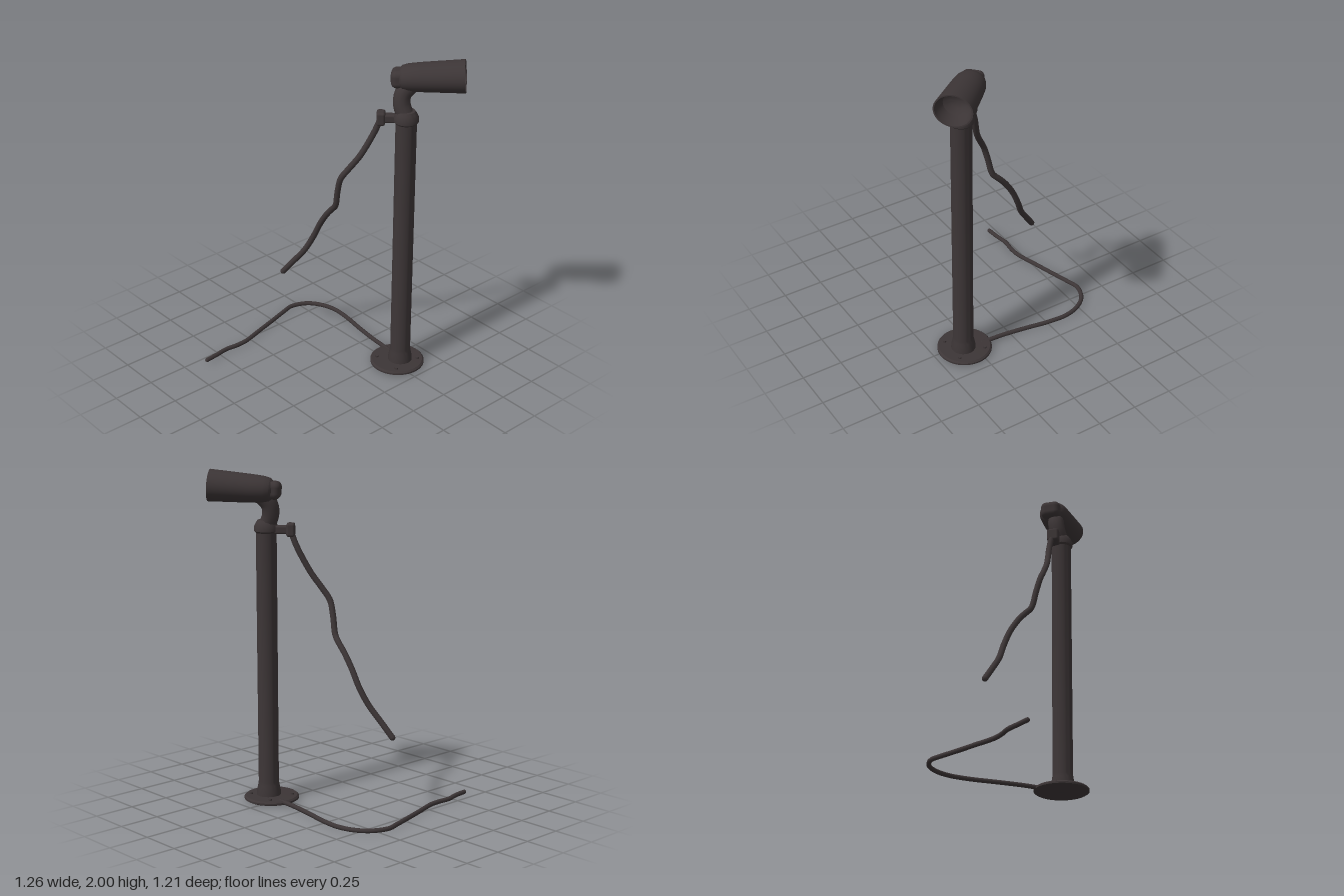
import * as THREE from 'three';
import { toCreasedNormals } from 'three/addons/utils/BufferGeometryUtils.js';
import { RoundedBoxGeometry } from 'three/addons/geometries/RoundedBoxGeometry.js';

export function createModel() {
  const root = new THREE.Group();
  const metal = new THREE.MeshStandardMaterial({ color: 0x3c3536 });
  metal.name = 'dark metal';

  const add = (name, geo, pos = [0, 0, 0], parent = root) => {
    const m = new THREE.Mesh(geo, metal);
    m.name = name;
    m.position.set(...pos);
    parent.add(m);
    return m;
  };
  const lathe = (pts, seg = 40) =>
    toCreasedNormals(new THREE.LatheGeometry(pts.map(p => new THREE.Vector2(...p)), seg), 0.6);

  // Round-ended tube through a list of points
  const tube = (name, pts, r, seg) => {
    const g = new THREE.Group();
    g.name = name;
    const v = pts.map(p => new THREE.Vector3(...p));
    add(name + 'Body', new THREE.TubeGeometry(new THREE.CatmullRomCurve3(v), seg, r, 12), [0, 0, 0], g);
    for (const p of [pts[0], pts[pts.length - 1]])
      add(name + 'End', new THREE.SphereGeometry(r, 12, 8), p, g);
    root.add(g);
  };

  // Floor plate and its bolts
  add('basePlate', lathe([[0, 0.01], [0.155, 0.01], [0.165, 0.016], [0.165, 0.026], [0.155, 0.035], [0, 0.038]]), [0.285, 0, 0.305]);
  for (let i = 0; i < 4; i++) {
    const a = Math.PI / 4 + i * Math.PI / 2;
    add('bolt', new THREE.CylinderGeometry(0.01, 0.011, 0.012, 10),
      [0.285 + 0.125 * Math.cos(a), 0.039, 0.305 + 0.125 * Math.sin(a)]);
  }

  // Post with flared foot and top collar
  add('post', lathe([[0, 0.03], [0.074, 0.03], [0.072, 0.06], [0.064, 0.1], [0.061, 0.12], [0.061, 1.63],
    [0.071, 1.64], [0.072, 1.665], [0.06, 1.69], [0.05, 1.705], [0, 1.71]]), [0.295, 0, 0.32]);

  // Bent neck
  tube('neck', [[0.293, 1.67, 0.315], [0.287, 1.74, 0.288], [0.3, 1.8, 0.285], [0.35, 1.865, 0.315]], 0.051, 24);

  // Lamp head, built along +z from the rim centre, then aimed
  const head = new THREE.Group();
  head.name = 'lampHead';
  head.position.set(0.55, 1.91, 0.525);
  head.rotation.set(-0.07, 0.735, 0, 'YXZ');
  root.add(head);
  const shell = lathe([[0, -0.375], [0.06, -0.372], [0.08, -0.355], [0.09, -0.32], [0.096, -0.25], [0.108, -0.02],
    [0.109, 0], [0.101, 0], [0.095, -0.04], [0.08, -0.085], [0.045, -0.11], [0, -0.115]]);
  shell.rotateX(Math.PI / 2).scale(1, 0.86, 1);
  add('lampShell', shell, [0, 0, 0], head);
  add('rearKnob', new RoundedBoxGeometry(0.125, 0.105, 0.15, 4, 0.035), [0, 0, -0.345], head);

  // Cable clamp on the back of the collar
  const clamp = new THREE.Group();
  clamp.name = 'cableClamp';
  clamp.position.set(0.225, 1.65, 0.225);
  clamp.rotation.y = Math.PI / 4;
  root.add(clamp);
  add('clampArm', new RoundedBoxGeometry(0.05, 0.05, 0.13, 3, 0.012), [0, 0, 0.03], clamp);
  add('clampBlock', new RoundedBoxGeometry(0.075, 0.08, 0.05, 3, 0.014), [0, 0, -0.028], clamp);

  // Hanging cable
  tube('hangingCable', [[0.208, 1.63, 0.195], [0.19, 1.55, 0.168], [0.13, 1.4, 0.115], [0.088, 1.31, 0.065],
    [0.062, 1.24, 0.025], [0.062, 1.15, -0.002], [0.07, 1.04, -0.03], [0.076, 0.995, -0.07], [0.075, 0.95, -0.11],
    [0.07, 0.86, -0.17], [0.057, 0.75, -0.222], [0.025, 0.65, -0.268], [-0.01, 0.56, -0.33], [-0.042, 0.47, -0.395]], 0.018, 100);

  // Power cable on the floor
  tube('floorCable', [[0.315, 0.024, 0.2], [0.32, 0.026, 0.12], [0.327, 0.025, 0.03], [0.348, 0.023, -0.12],
    [0.37, 0.022, -0.25], [0.377, 0.022, -0.38], [0.35, 0.022, -0.48], [0.29, 0.023, -0.56], [0.19, 0.023, -0.6],
    [0.1, 0.023, -0.58], [0, 0.022, -0.552], [-0.15, 0.022, -0.51], [-0.3, 0.023, -0.468], [-0.37, 0.024, -0.465],
    [-0.45, 0.025, -0.472], [-0.53, 0.028, -0.458], [-0.612, 0.028, -0.45]], 0.0135, 120);

  return root;
}
